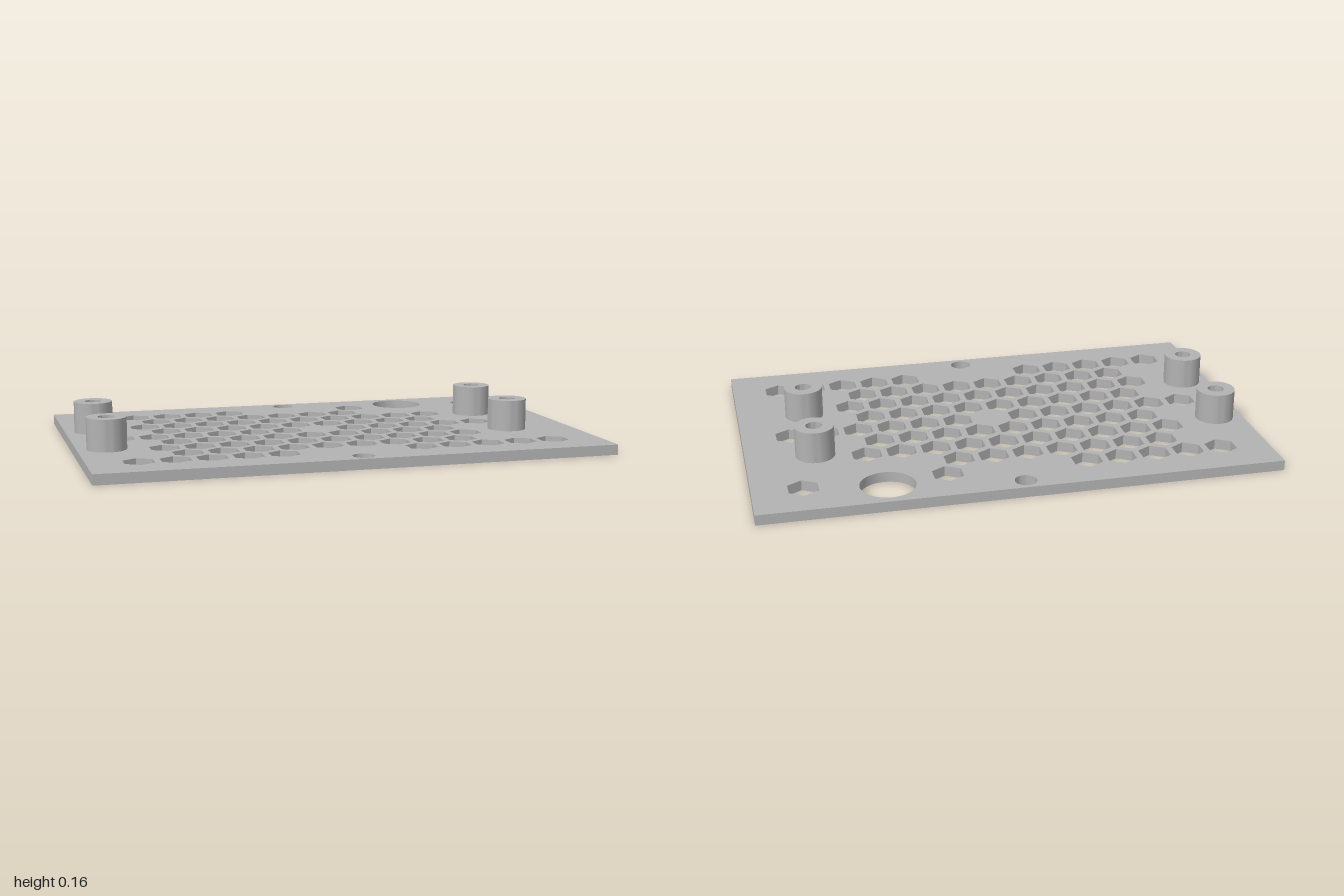
import * as THREE from 'three';
import { toCreasedNormals } from 'three/addons/utils/BufferGeometryUtils.js';

const THICK = 0.04, HALF_DEPTH = 0.646, TOP = 0.163;
const PITCH = 0.135, ROW = PITCH * Math.sqrt(3) / 2, HEX_R = 0.0635;

// Hole outlines, placed by model x and z (shape y is -z)
function hexHole(x, z) {
  const pts = [];
  for (let i = 0; i < 6; i++) {
    const a = Math.PI / 6 - i * Math.PI / 3;
    pts.push(new THREE.Vector2(x + HEX_R * Math.cos(a), -z + HEX_R * Math.sin(a)));
  }
  return new THREE.Path(pts);
}

function roundHole(x, z, r) {
  return new THREE.Path().absarc(x, -z, r, 0, Math.PI * 2, true);
}

// Honeycomb rows: row number, then runs of first and last column
const ROWS = [
  [-4, [-6, -2], [2, 2], [6, 6]],
  [-3, [-4.5, 1.5]],
  [-2, [-5, 4]],
  [-1, [-4.5, 3.5]],
  [0, [-6, -1], [1, 6]],
  [1, [-4.5, 3.5]],
  [2, [-5, 4]],
  [3, [-4.5, 3.5]],
  [4, [-6, -2], [2, 6]],
];

function plateGeometry() {
  const shape = new THREE.Shape([
    new THREE.Vector2(-1, -HALF_DEPTH), new THREE.Vector2(1, -HALF_DEPTH),
    new THREE.Vector2(1, HALF_DEPTH), new THREE.Vector2(-1, HALF_DEPTH),
  ]);
  for (const [row, ...runs] of ROWS)
    for (const [first, last] of runs)
      for (let c = first; c <= last; c++) shape.holes.push(hexHole(c * PITCH, row * ROW));
  // Two screw holes and one cable hole
  shape.holes.push(roundHole(0, -0.588, 0.042), roundHole(0, 0.588, 0.042));
  shape.holes.push(roundHole(0.503, -0.51, 0.105));
  const geo = new THREE.ExtrudeGeometry(shape, { depth: THICK, bevelEnabled: false, curveSegments: 24 });
  geo.rotateX(-Math.PI / 2);
  return toCreasedNormals(geo, 0.6);
}

// Hollow standoff, open down to the plate surface
function standoffGeometry() {
  const profile = [[0.076, THICK], [0.076, TOP], [0.032, TOP], [0.032, THICK]]
    .map(([r, y]) => new THREE.Vector2(r, y));
  return toCreasedNormals(new THREE.LatheGeometry(profile, 48), 0.6);
}

export function createModel() {
  const grey = new THREE.MeshStandardMaterial({ color: 0xb3b3b3 });
  grey.name = 'grey';
  const model = new THREE.Group();
  model.name = 'ventilatedPlate';

  const plate = new THREE.Mesh(plateGeometry(), grey);
  plate.name = 'plate';
  model.add(plate);

  const standoff = standoffGeometry();
  for (const x of [-0.887, 0.733])
    for (const z of [-0.194, 0.194]) {
      const post = new THREE.Mesh(standoff, grey);
      post.name = 'standoff';
      post.position.set(x, 0, z);
      model.add(post);
    }
  return model;
}
